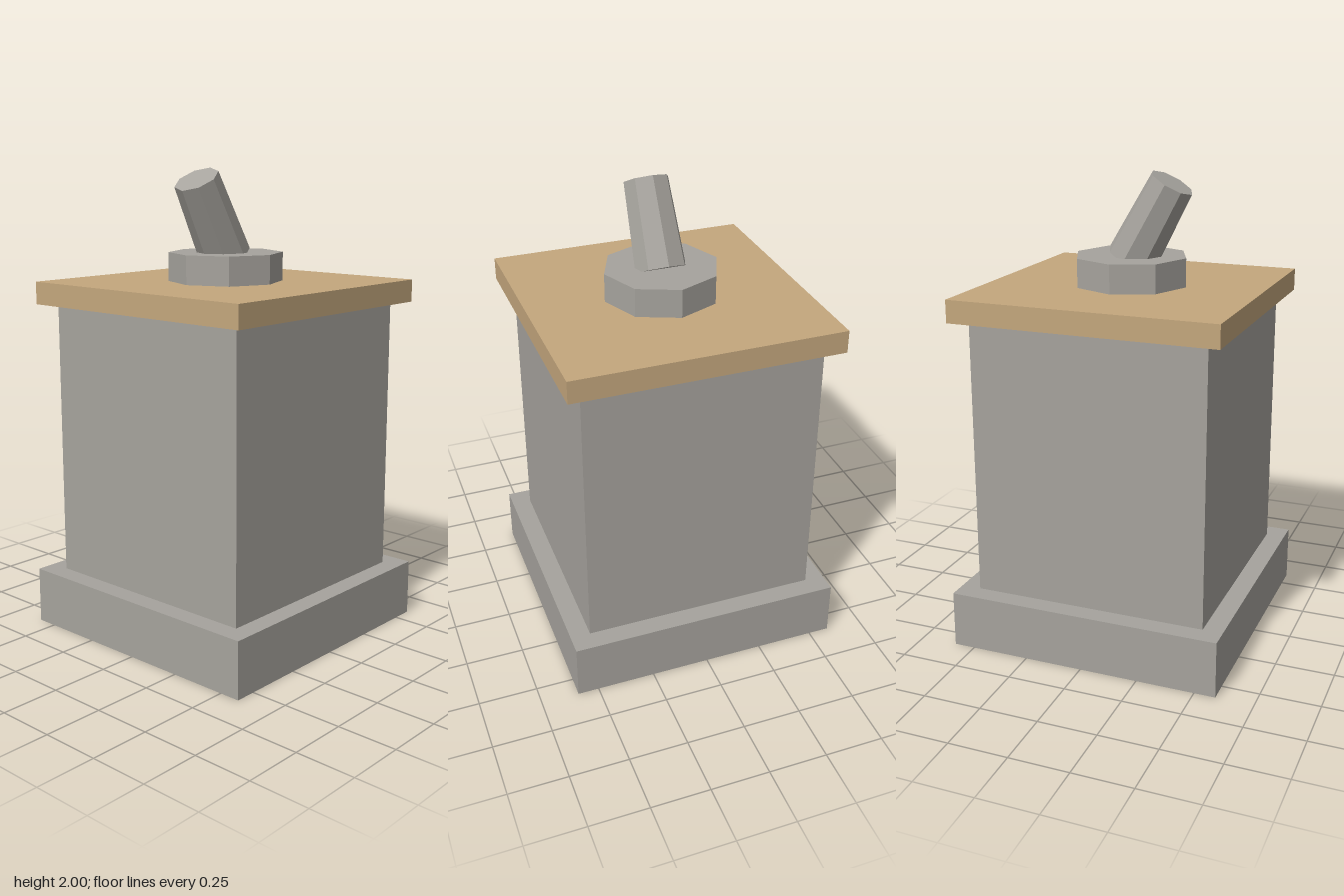
import * as THREE from 'three';

export function createModel() {
  const model = new THREE.Group();
  model.name = 'pedestal';

  const stone = new THREE.MeshStandardMaterial({ color: 0xa6a39d, flatShading: true });
  stone.name = 'grey stone';
  const wood = new THREE.MeshStandardMaterial({ color: 0xc4a77d, flatShading: true });
  wood.name = 'tan slab';

  function add(name, geometry, material, y, z = 0) {
    const mesh = new THREE.Mesh(geometry, material);
    mesh.name = name;
    mesh.position.set(0, y, z);
    model.add(mesh);
    return mesh;
  }

  // Square block of a given width between two heights
  const block = (name, width, y0, y1, material) =>
    add(name, new THREE.BoxGeometry(width, y1 - y0, width), material, (y0 + y1) / 2);

  block('plinth', 1.18, 0, 0.243, stone);
  block('column', 1.01, 0.243, 1.43, stone);
  block('topSlab', 1.14, 1.43, 1.526, wood);

  // Octagonal mount
  add('mount', new THREE.CylinderGeometry(0.244, 0.244, 0.122, 8), stone, 1.587);

  // Tapered octagonal post leaning towards the front
  const post = add('leaningPost', new THREE.CylinderGeometry(0.096, 0.11, 0.37, 8), stone, 1.792, 0.0915);
  post.rotation.x = 0.5;

  return model;
}
